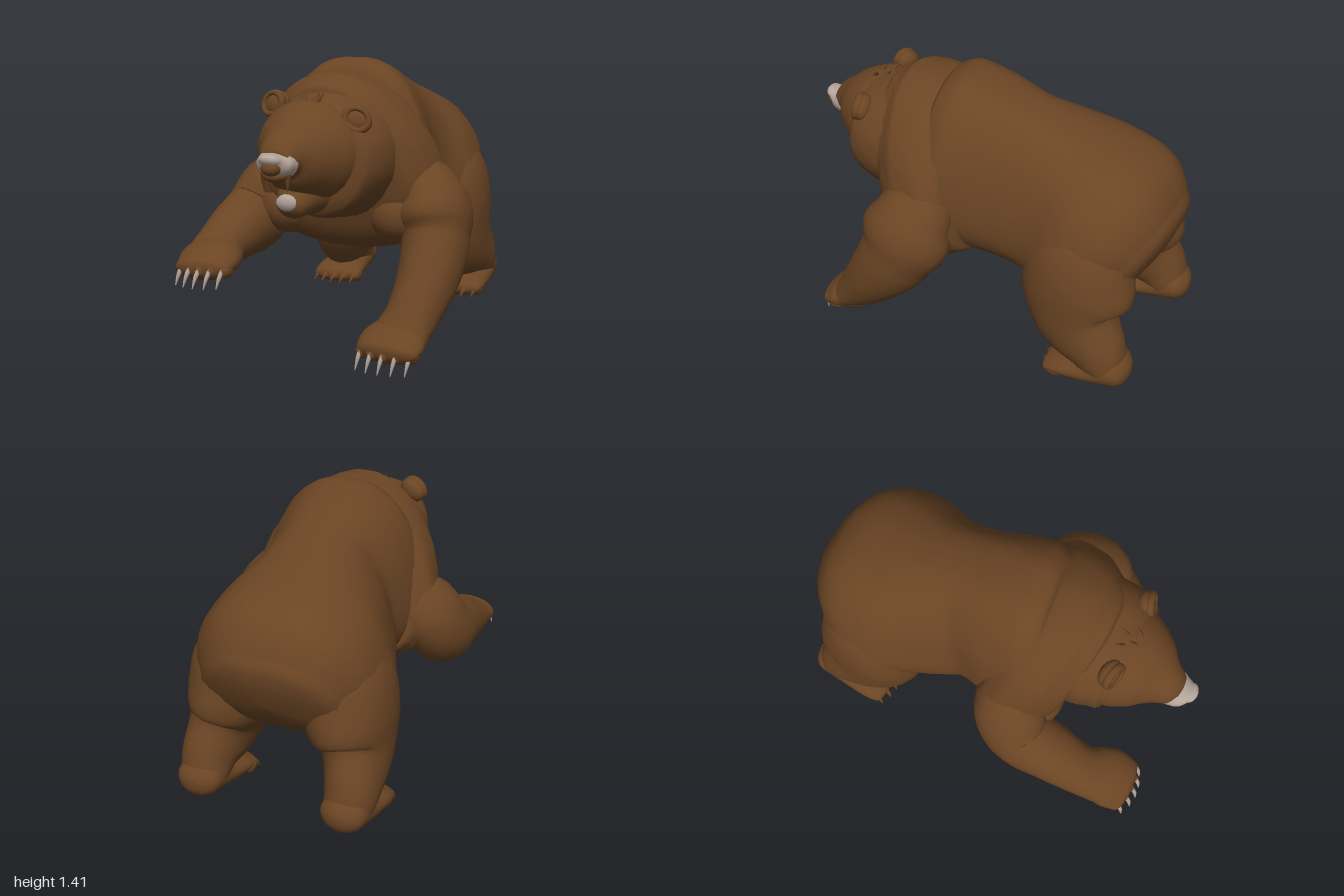
import * as THREE from 'three';

const fur = new THREE.MeshStandardMaterial({ color: 0x6b4524 });
fur.name = 'brown fur';
const pale = new THREE.MeshStandardMaterial({ color: 0xb3a399 });
pale.name = 'pale muzzle and claws';

const power = (v, p) => Math.sign(v) * Math.abs(v) ** p;

// Smooth skin over sections [x, y, z, sideRadius, upRadius], with rounded ends.
// taper narrows the upper side, shear leans the sections, square below 1 makes them boxier,
// cap sets the length of each end.
function loft(sections, { cap = [0.05, 0.05], taper = 0, shear = 0, square = 1, sides = 28, steps = 5, rough = 0 } = {}) {
  const path = new THREE.CatmullRomCurve3(sections.map(s => new THREE.Vector3(s[0], s[1], s[2])));
  const sizes = new THREE.CatmullRomCurve3(sections.map(s => new THREE.Vector3(s[3], s[4], 0)));
  const rings = [];
  const n = (sections.length - 1) * steps;
  for (let i = 0; i <= n; i++) {
    const t = path.getTangent(i / n), c = path.getPoint(i / n), r = sizes.getPoint(i / n);
    rings.push({ c, t, rx: r.x, ry: r.y });
  }
  const end = (ring, length) => [1, 2, 3, 4, 5].map(k => {
    const a = k * Math.PI / 10, s = Math.cos(a);
    return { c: ring.c.clone().addScaledVector(ring.t, length * Math.sin(a)), t: ring.t, rx: ring.rx * s, ry: ring.ry * s };
  });
  const all = [...end(rings[0], -cap[0]).reverse(), ...rings, ...end(rings[n], cap[1])];
  const pos = [], index = [];
  all.forEach(({ c, t, rx, ry }, i) => {
    const side = new THREE.Vector3(1, 0, 0).addScaledVector(t, -t.x).normalize();
    const up = new THREE.Vector3().crossVectors(t, side);
    for (let j = 0; j < sides; j++) {
      const a = j / sides * Math.PI * 2, s = power(Math.sin(a), square), co = power(Math.cos(a), square);
      const w = 1 + rough * Math.sin(j * 2.3 + i * 0.7) * Math.sin(i * 0.9 + j);
      const p = c.clone().addScaledVector(side, rx * co * w * (1 - taper * s)).addScaledVector(up, ry * s * w);
      pos.push(p.x, p.y, p.z + shear * (p.y - c.y));
      if (i < all.length - 1) {
        const b = i * sides + (j + 1) % sides, q = i * sides + j;
        index.push(q, b, b + sides, q, b + sides, q + sides);
      }
    }
  });
  const g = new THREE.BufferGeometry();
  g.setAttribute('position', new THREE.Float32BufferAttribute(pos, 3));
  g.setIndex(index);
  g.computeVertexNormals();
  return g;
}

export function createModel() {
  const bear = new THREE.Group();
  bear.name = 'bear';
  const add = (name, geometry, material = fur, parent = bear) => {
    const m = new THREE.Mesh(geometry, material);
    m.name = name;
    parent.add(m);
    return m;
  };
  const ball = (name, x, y, z, sx, sy, sz, parent = bear) => {
    const m = add(name, new THREE.SphereGeometry(1, 18, 14), fur, parent);
    m.position.set(x, y, z);
    m.scale.set(sx, sy, sz);
    return m;
  };

  // Torso, shoulder collar, chest muscles and tail
  add('torso', loft([
    [-0.07, 0.72, -0.88, 0.37, 0.26], [-0.07, 0.765, -0.80, 0.435, 0.335], [-0.07, 0.815, -0.70, 0.465, 0.38],
    [-0.07, 0.845, -0.58, 0.46, 0.39], [-0.06, 0.88, -0.40, 0.395, 0.41], [-0.03, 0.915, -0.20, 0.345, 0.435],
    [-0.02, 0.95, 0.0, 0.385, 0.46], [-0.01, 0.97, 0.14, 0.40, 0.47], [0, 0.98, 0.23, 0.36, 0.43],
  ], { cap: [0.09, 0.05], taper: 0.2, square: 0.8, sides: 52, rough: 0.006 }));
  add('shoulderCollar', loft([
    [0, 0.92, 0.04, 0.43, 0.41], [0, 0.93, 0.14, 0.48, 0.45], [0, 0.93, 0.28, 0.46, 0.45], [0, 0.94, 0.40, 0.38, 0.39],
  ], { cap: [0.05, 0.06], taper: 0.27, shear: 0.33, square: 0.88, sides: 48, rough: 0.008 }));
  for (const s of [-1, 1]) ball('chestMuscle', s * 0.3, 0.70, 0.26, 0.16, 0.15, 0.15);
  add('tail', loft([
    [-0.07, 1.02, -0.85, 0.035, 0.04], [-0.07, 0.92, -0.935, 0.035, 0.035], [-0.06, 0.78, -0.97, 0.025, 0.025],
  ], { sides: 12, cap: [0.03, 0.03] }));

  // Head
  const head = new THREE.Group();
  head.name = 'head';
  bear.add(head);
  add('neckRuff', loft([
    [0.01, 1.0, 0.38, 0.34, 0.33], [0.01, 0.995, 0.50, 0.33, 0.305], [0, 0.995, 0.60, 0.30, 0.275],
  ], { rough: 0.014, sides: 36 }), fur, head);
  add('skull', loft([
    [-0.01, 1.03, 0.55, 0.28, 0.25], [-0.02, 1.035, 0.65, 0.255, 0.235], [-0.03, 1.035, 0.75, 0.195, 0.185],
    [-0.04, 1.03, 0.83, 0.12, 0.115], [-0.04, 1.01, 0.89, 0.085, 0.072],
  ], { cap: [0.05, 0.02] }), fur, head);
  add('muzzle', loft([
    [-0.04, 1.012, 0.862, 0.098, 0.080], [-0.04, 1.012, 0.915, 0.086, 0.062], [-0.035, 1.033, 0.96, 0.053, 0.028],
  ], { cap: [0.005, 0.037], sides: 20 }), pale, head);
  ball('nose', -0.035, 0.998, 0.95, 0.048, 0.038, 0.043, head);
  ball('upperLip', -0.04, 0.957, 0.90, 0.06, 0.034, 0.052, head);
  add('lowerJaw', loft([
    [-0.02, 0.87, 0.55, 0.20, 0.16], [-0.035, 0.83, 0.66, 0.125, 0.11], [-0.045, 0.785, 0.745, 0.075, 0.065],
  ], { cap: [0.05, 0.035] }), fur, head);
  add('chin', loft([
    [-0.05, 0.812, 0.735, 0.055, 0.04], [-0.05, 0.807, 0.775, 0.055, 0.041],
  ], { cap: [0.01, 0.025], sides: 14 }), pale, head);
  for (const x of [-0.095, 0.01]) {
    const fang = add('fang', new THREE.ConeGeometry(0.018, 0.09, 8), fur, head);
    fang.position.set(x, 0.92, 0.88);
    fang.rotation.x = Math.PI;
  }
  for (const s of [-1, 1]) {
    // Cupped ear: domed back with a raised rim
    const ear = new THREE.Group();
    ear.name = 'ear';
    ear.position.set(s > 0 ? 0.23 : -0.2, s > 0 ? 1.19 : 1.245, 0.61);
    ear.rotation.set(-0.2, s * 0.3, s * -0.5);
    ear.scale.set(1.1, 0.95, 1.3);
    head.add(ear);
    ball('earBack', 0, 0, -0.02, 0.066, 0.064, 0.035, ear);
    add('earRim', new THREE.TorusGeometry(0.052, 0.016, 8, 20), fur, ear);
  }
  // Tufts on the crown
  for (let i = 0; i < 4; i++) {
    const tuft = add('crownTuft', new THREE.ConeGeometry(0.02, 0.07, 5), fur, head);
    tuft.position.set(-0.06 + i * 0.035, 1.28, 0.57 + (i % 2) * 0.05);
    tuft.rotation.set(-0.7, 0, 0.4 - i * 0.3);
  }

  // Toes and claws; z is the front of the toes, drop is how far the claws point down
  const toes = (name, x, y, z, width, clawMaterial, length, drop) => {
    const g = new THREE.Group();
    g.name = name;
    bear.add(g);
    for (let i = 0; i < 5; i++) {
      const u = (i - 2) / 2, cx = x + u * width, cz = z - 0.03 * u * u;
      ball('toe', cx, y, cz - 0.01, width * 0.27, 0.036, 0.055, g);
      add('claw', loft([
        [cx, y + 0.005, cz + 0.03, 0.012, 0.014],
        [cx - 0.006, y - drop * 0.35, cz + 0.03 + length * 0.6, 0.010, 0.011],
        [cx - 0.015, y - drop, cz + 0.03 + length, 0.003, 0.003],
      ], { cap: [0.005, 0.004], sides: 8, steps: 3 }), clawMaterial, g);
    }
  };

  // Planted left foreleg
  add('leftForeleg', loft([
    [0.28, 0.88, 0.17, 0.14, 0.16], [0.42, 0.78, 0.18, 0.165, 0.2], [0.48, 0.60, 0.23, 0.165, 0.2],
    [0.49, 0.42, 0.35, 0.15, 0.165], [0.46, 0.25, 0.49, 0.13, 0.12], [0.43, 0.17, 0.57, 0.14, 0.085],
  ], { rough: 0.012 }));
  add('leftForepaw', loft([
    [0.43, 0.18, 0.50, 0.13, 0.09], [0.41, 0.15, 0.60, 0.165, 0.085], [0.405, 0.12, 0.67, 0.155, 0.06],
  ], { cap: [0.06, 0.04] }));
  toes('leftForetoes', 0.40, 0.105, 0.675, 0.125, pale, 0.025, 0.08);

  // Reaching right foreleg
  add('rightForeleg', loft([
    [-0.28, 0.84, 0.18, 0.14, 0.16], [-0.43, 0.76, 0.18, 0.165, 0.19], [-0.49, 0.63, 0.26, 0.165, 0.185],
    [-0.50, 0.58, 0.45, 0.15, 0.15], [-0.50, 0.53, 0.62, 0.13, 0.115], [-0.48, 0.51, 0.72, 0.14, 0.09],
  ], { rough: 0.012 }));
  add('rightForepaw', loft([
    [-0.485, 0.515, 0.64, 0.12, 0.09], [-0.465, 0.505, 0.77, 0.155, 0.085], [-0.46, 0.475, 0.86, 0.14, 0.06],
  ], { cap: [0.06, 0.04] }));
  toes('rightForetoes', -0.455, 0.47, 0.87, 0.11, pale, 0.035, 0.075);

  // Hind legs, mirrored about the centre of the rump
  for (const s of [1, -1]) {
    const side = s > 0 ? 'left' : 'right';
    const at = list => list.map(([x, ...rest]) => [-0.07 + s * (x + 0.07), ...rest]);
    add(side + 'HindLeg', loft(at([
      [0.10, 0.92, -0.66, 0.17, 0.20], [0.20, 0.74, -0.65, 0.225, 0.275], [0.24, 0.56, -0.655, 0.215, 0.295],
      [0.28, 0.40, -0.69, 0.17, 0.25], [0.31, 0.27, -0.81, 0.135, 0.16], [0.31, 0.19, -0.87, 0.12, 0.115],
    ]), { rough: 0.01 }));
    add(side + 'HindFoot', loft(at([
      [0.31, 0.19, -0.92, 0.115, 0.095], [0.31, 0.15, -0.78, 0.125, 0.075],
      [0.305, 0.135, -0.66, 0.14, 0.062], [0.30, 0.12, -0.59, 0.135, 0.045],
    ]), { cap: [0.075, 0.035] }));
    toes(side + 'HindToes', -0.07 + s * 0.37, 0.115, -0.585, 0.11, fur, 0.03, 0.035);
  }
  return bear;
}
